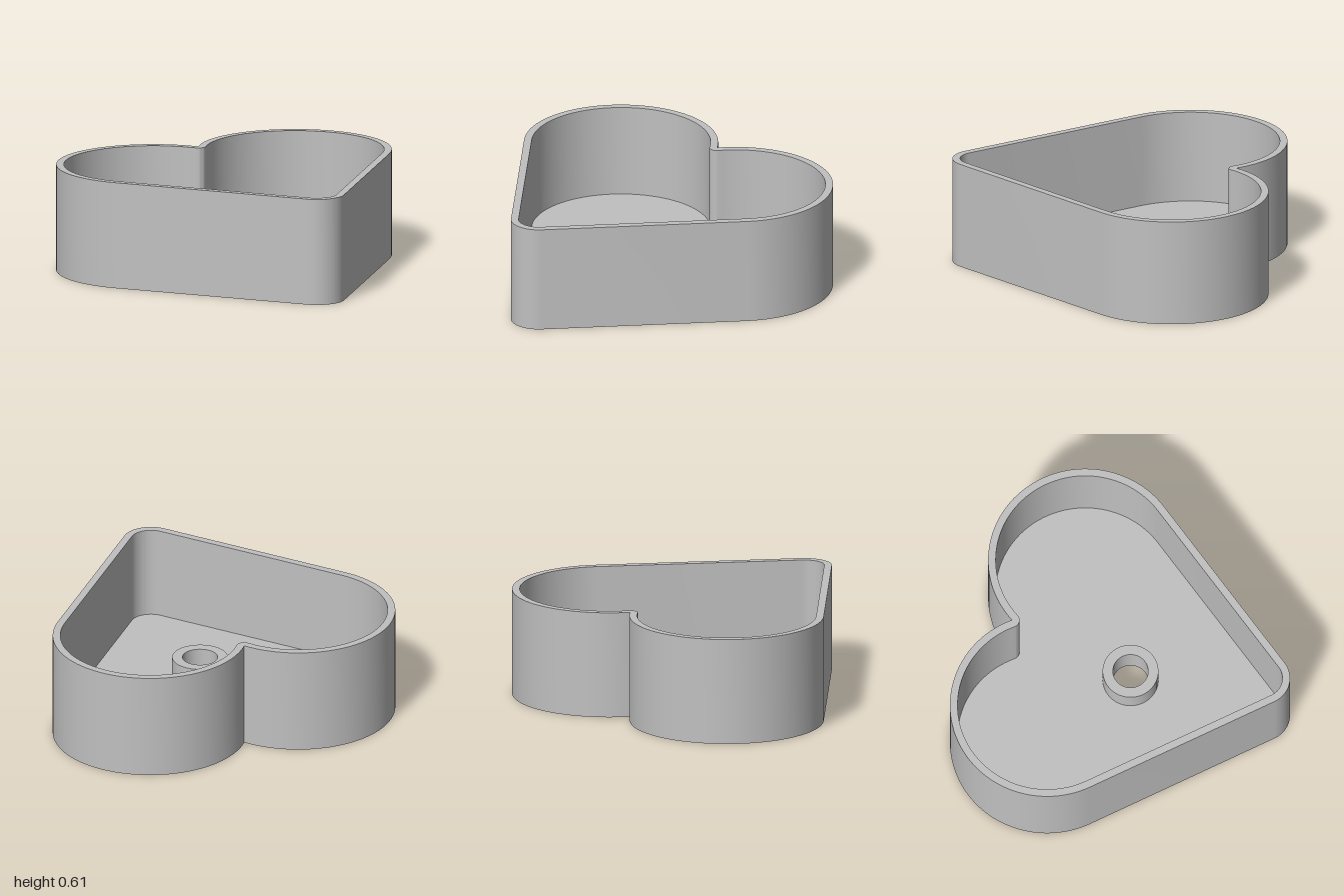
import * as THREE from 'three';
import { toCreasedNormals } from 'three/addons/utils/BufferGeometryUtils.js';

const HEIGHT = 0.61, WALL = 0.043, FLOOR = 0.08;
const LOBE = { x: 0.45, y: 0.375, r: 0.55 };
const TIP = { y: -0.768, r: 0.157 };
const HOLE = 0.1, RECESS = 0.12, RECESS_DEPTH = 0.04;
const BOSS = 0.158, BOSS_TOP = 0.22;

// Heart outline moved inwards by inset; shape y points to the back
function heart(shape, inset) {
  const dy = LOBE.y - TIP.y;
  const side = Math.atan2(dy, LOBE.x) - Math.acos((TIP.r - LOBE.r) / Math.hypot(LOBE.x, dy));
  const rise = Math.sqrt(LOBE.r ** 2 - LOBE.x ** 2);
  const b = Math.atan2(rise, LOBE.x);
  const r = LOBE.r - inset;
  shape.absarc(0, TIP.y, TIP.r - inset, -Math.PI - side, side, false);
  shape.absarc(LOBE.x, LOBE.y, r, side, Math.PI - b, false);
  // rounded crease between the lobes on the inner outline
  if (inset > 0) shape.absarc(0, LOBE.y + rise, inset, -b, b - Math.PI, true);
  shape.absarc(-LOBE.x, LOBE.y, r, b, Math.PI - side, false);
  shape.closePath();
  return shape;
}

function extrudeUp(shape, depth) {
  const geo = new THREE.ExtrudeGeometry(shape, { depth, bevelEnabled: false, curveSegments: 40 });
  geo.rotateX(-Math.PI / 2);
  return toCreasedNormals(geo, 0.5);
}

export function createModel() {
  const group = new THREE.Group();
  group.name = 'heartBox';
  const grey = new THREE.MeshStandardMaterial({ color: 0xc0c0c0 });
  grey.name = 'light grey';

  const add = (name, geo) => {
    const mesh = new THREE.Mesh(geo, grey);
    mesh.name = name;
    group.add(mesh);
  };

  // Heart-shaped wall
  const wall = heart(new THREE.Shape(), 0);
  wall.holes.push(heart(new THREE.Path(), WALL));
  add('wall', extrudeUp(wall, HEIGHT));

  // Floor with the wider recess opening underneath
  const floor = heart(new THREE.Shape(), WALL);
  floor.holes.push(new THREE.Path().absarc(0, 0, RECESS, 0, Math.PI * 2, true));
  add('floor', extrudeUp(floor, FLOOR));

  // Hollow boss: outside, rim, bore and the step of the recess
  const profile = [
    [BOSS, FLOOR], [BOSS, BOSS_TOP], [HOLE, BOSS_TOP], [HOLE, RECESS_DEPTH], [RECESS, RECESS_DEPTH],
  ].map(([x, y]) => new THREE.Vector2(x, y));
  add('boss', toCreasedNormals(new THREE.LatheGeometry(profile, 40), 0.5));

  return group;
}
